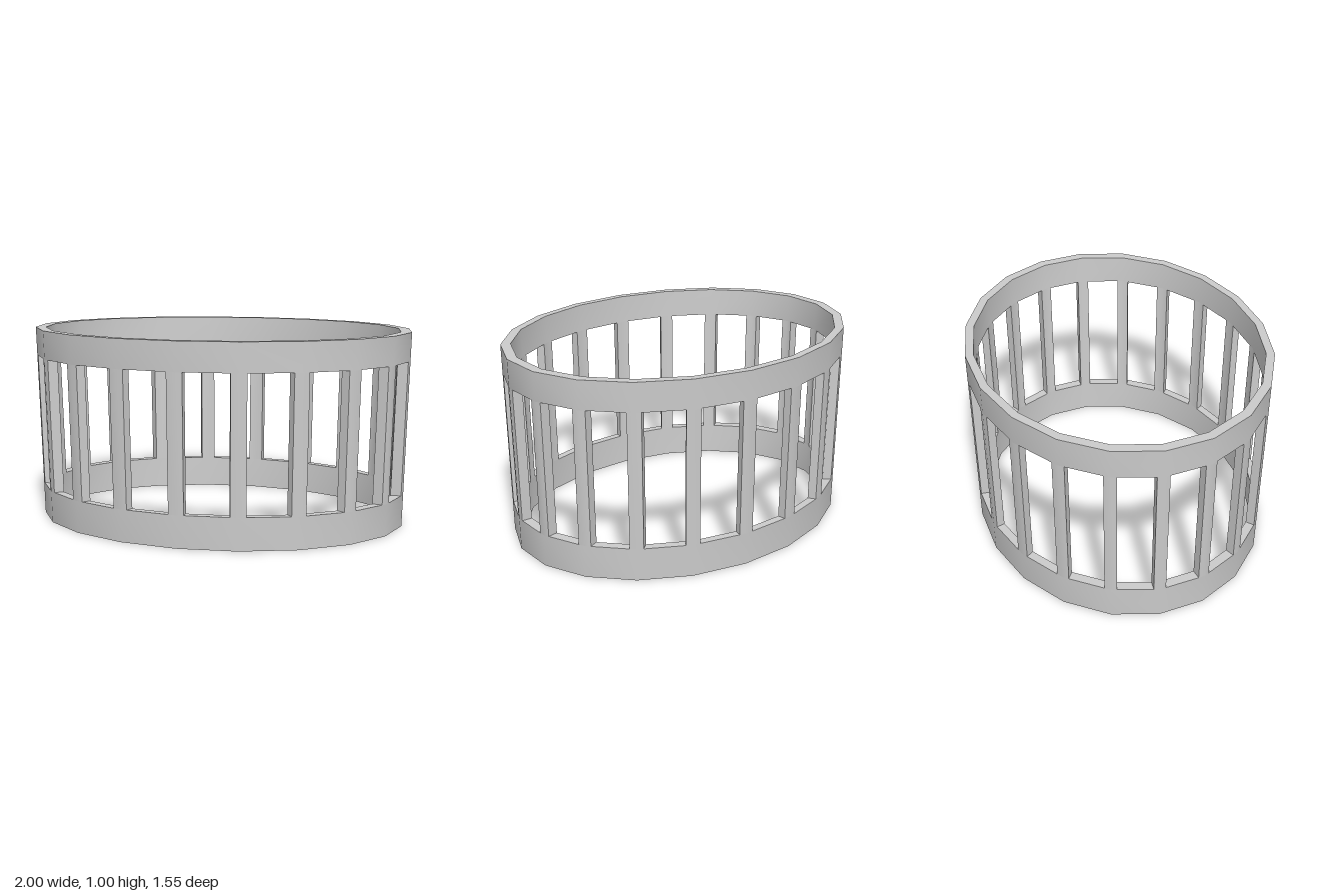
import * as THREE from 'three';
import { toCreasedNormals } from 'three/addons/utils/BufferGeometryUtils.js';

const SIDES = 20, DEPTH = 0.775, WALL = 0.055, POST = 0.13;
const SILL = 0.165, LINTEL = 0.853;

// Corner of the tapering oval polygon; fractional steps lie on the straight side
function corner(step, y, inset) {
  const r = 0.97 + 0.03 * y - inset;
  const at = (i) => {
    const a = (i / SIDES) * Math.PI * 2;
    return new THREE.Vector3(r * Math.cos(a), y, r * DEPTH * Math.sin(a));
  };
  const i = Math.floor(step);
  return at(i).lerp(at(i + 1), step - i);
}

// Piece of wall running through the given steps, from height y0 to y1
function wall(name, steps, y0, y1, isBand, material) {
  const pos = [];
  const quad = (a, b, c, d) => [a, b, c, a, c, d].forEach((p) => pos.push(p.x, p.y, p.z));
  const columns = steps.map((s) => ({
    ob: corner(s, y0, 0), ot: corner(s, y1, 0),
    ib: corner(s, y0, WALL), it: corner(s, y1, WALL),
  }));
  for (let k = 0; k + 1 < columns.length; k++) {
    const p = columns[k], q = columns[k + 1];
    quad(p.ob, p.ot, q.ot, q.ob); // outside
    quad(p.ib, q.ib, q.it, p.it); // inside
    if (isBand) {
      quad(p.ot, p.it, q.it, q.ot); // upper rim
      quad(p.ob, q.ob, q.ib, p.ib); // lower rim
    }
  }
  if (!isBand) {
    // side faces of a post
    const s = columns[0], e = columns[columns.length - 1];
    quad(s.ob, s.ib, s.it, s.ot);
    quad(e.ob, e.ot, e.it, e.ib);
  }
  const geometry = new THREE.BufferGeometry();
  geometry.setAttribute('position', new THREE.Float32BufferAttribute(pos, 3));
  const mesh = new THREE.Mesh(toCreasedNormals(geometry, 0.7), material);
  mesh.name = name;
  return mesh;
}

export function createModel() {
  const group = new THREE.Group();
  group.name = 'ovalCage';
  const material = new THREE.MeshStandardMaterial({ color: 0xcccccc });

  // Closed bands at the bottom and the top
  const loop = Array.from({ length: SIDES + 1 }, (_, i) => i);
  group.add(wall('bottomBand', loop, 0, SILL, true, material));
  group.add(wall('topBand', loop, LINTEL, 1, true, material));

  // A post folded around every corner of the oval
  const posts = new THREE.Group();
  posts.name = 'posts';
  for (let i = 0; i < SIDES; i++) {
    posts.add(wall('post', [i - POST, i, i + POST], SILL, LINTEL, false, material));
  }
  group.add(posts);
  return group;
}
